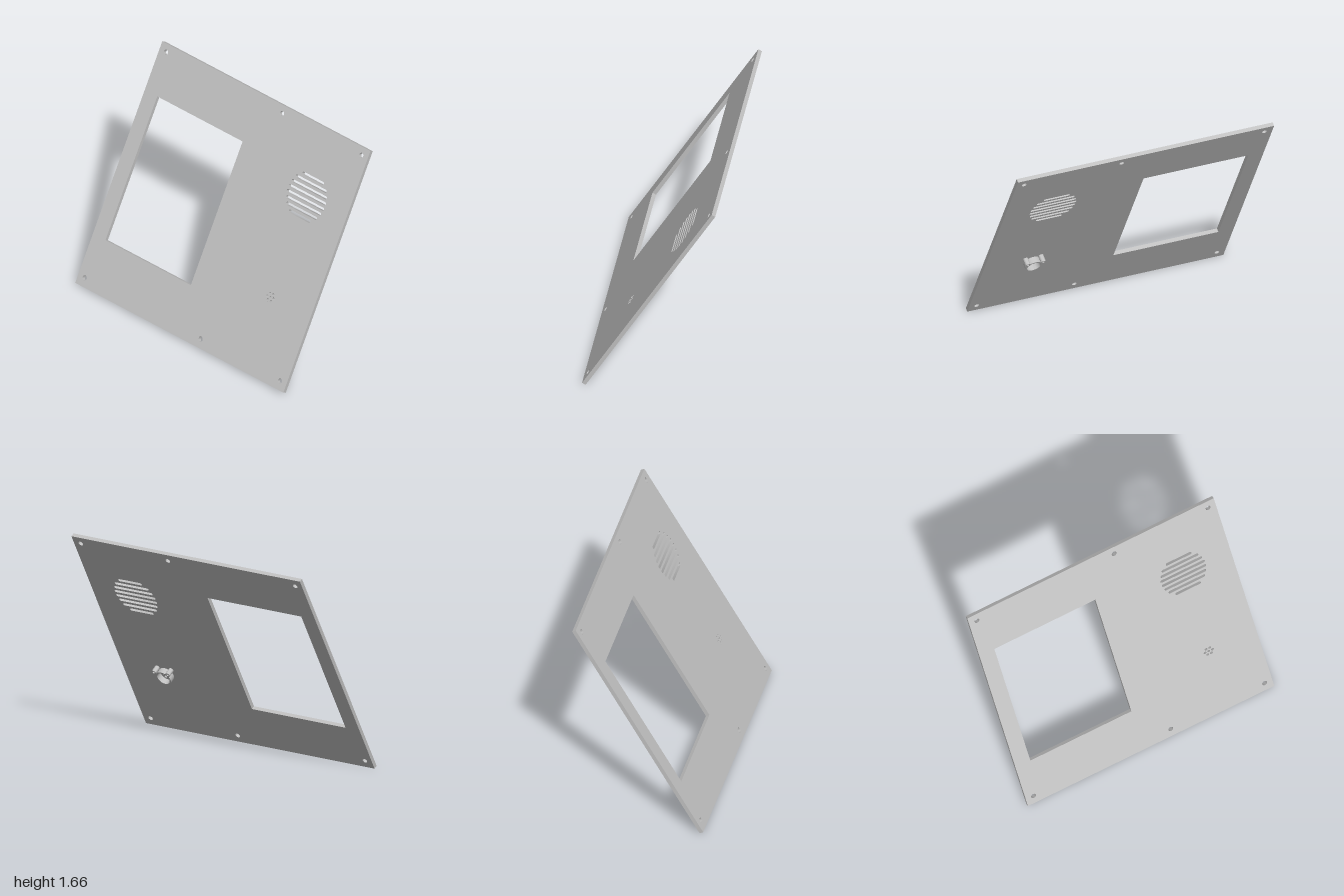
import * as THREE from 'three';
import { toCreasedNormals } from 'three/addons/utils/BufferGeometryUtils.js';

const W = 2, L = 1.895, T = 0.03;
const MIC = [0.619, 0.583];

const circle = (x, y, r, Type = THREE.Path) => {
  const p = new Type();
  p.absarc(x, y, r, 0, Math.PI * 2, false);
  return p;
};

const rect = (x0, y0, x1, y1, Type = THREE.Path) => {
  const p = new Type();
  p.moveTo(x0, y0).lineTo(x1, y0).lineTo(x1, y1).lineTo(x0, y1).closePath();
  return p;
};

// Horizontal slot with round ends
const slot = (x, y, half, r) => {
  const p = new THREE.Path();
  p.absarc(x + half - r, y, r, -Math.PI / 2, Math.PI / 2, false);
  p.absarc(x - half + r, y, r, Math.PI / 2, Math.PI * 1.5, false);
  p.closePath();
  return p;
};

function extrude(name, shape, z0, z1, material) {
  const geo = new THREE.ExtrudeGeometry(shape, { depth: z1 - z0, bevelEnabled: false, curveSegments: 16 });
  geo.translate(0, 0, z0);
  const mesh = new THREE.Mesh(toCreasedNormals(geo, 0.6), material);
  mesh.name = name;
  return mesh;
}

// Round tube standing on the back of the panel
function tube(name, x, y, outer, inner, depth, material) {
  const s = circle(x, y, outer, THREE.Shape);
  s.holes.push(circle(x, y, inner));
  return extrude(name, s, -depth, 0.001, material);
}

export function createModel() {
  const grey = new THREE.MeshStandardMaterial({ color: 0xc0c0c0 });
  grey.name = 'light grey';

  const model = new THREE.Group();
  model.name = 'controlPanel';

  // Plate with all its cut-outs
  const plate = rect(-W / 2, 0, W / 2, L, THREE.Shape);
  plate.holes.push(rect(-0.88, 0.387, -0.06, 1.514)); // screen window
  for (const x of [-0.938, 0.176, 0.938]) // screw holes
    for (const y of [0.065, L - 0.06]) plate.holes.push(circle(x, y, 0.019));
  [0.103, 0.148, 0.168, 0.179, 0.179, 0.168, 0.148, 0.103].forEach((half, i) => // speaker grille
    plate.holes.push(slot(0.617, 1.368 + (i - 3.5) * 0.0425, half, 0.0115)));
  plate.holes.push(circle(...MIC, 0.0105)); // microphone holes
  for (let i = 0; i < 6; i++) {
    const a = i * Math.PI / 3;
    plate.holes.push(circle(MIC[0] + 0.03 * Math.cos(a), MIC[1] + 0.03 * Math.sin(a), 0.0105));
  }
  model.add(extrude('plate', plate, 0, T, grey));

  // Microphone holder on the back: ring and two screw posts
  const holder = new THREE.Group();
  holder.name = 'microphoneHolder';
  holder.add(tube('microphoneRing', ...MIC, 0.063, 0.052, 0.047, grey));
  for (const s of [-1, 1])
    holder.add(tube(s > 0 ? 'leftPost' : 'rightPost', MIC[0] + s * 0.06, MIC[1] + 0.057, 0.019, 0.009, 0.056, grey));
  model.add(holder);

  // Lean the panel back
  model.rotation.x = -Math.PI / 6;
  model.position.z = 0.461;

  const root = new THREE.Group();
  root.name = 'panelModel';
  root.add(model);
  return root;
}
